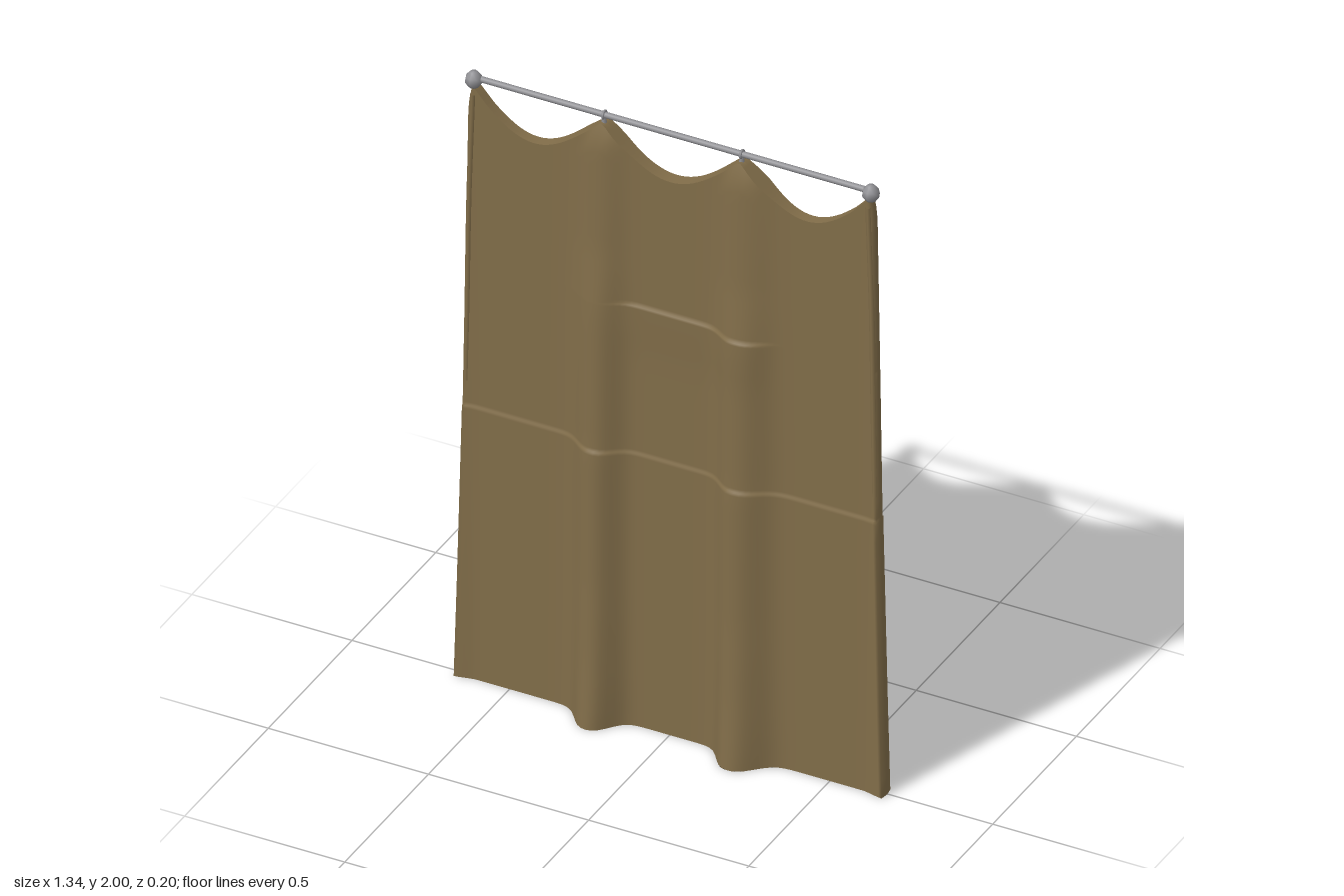
import * as THREE from 'three';

const clothMat = new THREE.MeshStandardMaterial({ color: 0x816d49, side: THREE.DoubleSide });
clothMat.name = 'olive brown cloth';
const metalMat = new THREE.MeshStandardMaterial({ color: 0x909094 });
metalMat.name = 'grey metal';
const darkMat = new THREE.MeshStandardMaterial({ color: 0x14140f, side: THREE.DoubleSide });
darkMat.name = 'black lining';

const HOOKS = [-0.62, -0.215, 0.215, 0.62];

// Linear lookup in a short [key, value] table
function lookup(table, k) {
  if (k <= table[0][0]) return table[0][1];
  for (let i = 1; i < table.length; i++) {
    const [k0, v0] = table[i - 1], [k1, v1] = table[i];
    if (k <= k1) return v0 + (v1 - v0) * (k - k0) / (k1 - k0);
  }
  return table[table.length - 1][1];
}

const bump = (x, centre, left, right, power = 2) =>
  Math.exp(-(Math.abs((x - centre) / (x < centre ? left : right)) ** power));
const smooth = THREE.MathUtils.smoothstep;

// Half width and fold depth by height; the jumps are the stitched seams
const WIDTH = [[0, 0.668], [0.3, 0.66], [0.9, 0.646], [1.3, 0.64], [1.9, 0.63], [1.96, 0.618]];
const FRONT = [[0, 0.1], [0.2, 0.083], [0.45, 0.073], [0.894, 0.07], [0.906, 0.066],
  [1.36, 0.059], [1.55, 0.043], [1.9, 0.035], [1.955, 0.016]];
const BACK = [[0, 0.1], [0.2, 0.09], [0.894, 0.084], [0.906, 0.077], [1.4, 0.06],
  [1.9, 0.043], [1.955, 0.026]];

// Scalloped top edge hanging between the hooks
function topEdge(x) {
  for (let i = 0; i < 3; i++) {
    const t = (x - HOOKS[i]) / (HOOKS[i + 1] - HOOKS[i]);
    if (t >= 0 && t <= 1) return 1.957 - 0.13 * Math.sin(Math.PI * t) ** 1.1;
  }
  return 1.957;
}

function frontZ(x, y) {
  const fold = Math.max(bump(x, -0.22, 0.066, 0.066, 2.5), bump(x, 0.22, 0.062, 0.084, 2.5));
  const flat = 0.012 + 0.012 * smooth(Math.abs(x), 0.6, 0.67) * (1 - y / 2);
  const seam = y < 0.9 ? 0.004 : 0;
  // short stitched crease across the middle
  const crease = y < 1.389 ? 0.006 * smooth(y, 1.2, 1.385) * smooth(x, -0.2, -0.1) * (1 - smooth(x, 0.26, 0.34)) : 0;
  return flat + seam + crease + Math.max(0, lookup(FRONT, y) - 0.016) * fold;
}

function backZ(x, y) {
  const fold = Math.max(bump(x, -0.225, 0.125, 0.075), bump(x, 0.225, 0.075, 0.105));
  const flat = 0.02 + 0.01 * bump(x, 0, 0.3, 0.3);
  const seam = y < 0.9 ? 0.004 : 0;
  return -(flat + seam + Math.max(0, lookup(BACK, y) - 0.026) * fold);
}

// Geometry from equal rows of points; closed joins each row's end to its start
function gridGeometry(rows, closed) {
  const n = rows[0].length, index = [];
  for (let j = 1; j < rows.length; j++) {
    for (let i = 0; i < (closed ? n : n - 1); i++) {
      const k = (i + 1) % n, a = (j - 1) * n, c = j * n;
      index.push(a + i, a + k, c + k, a + i, c + k, c + i);
    }
  }
  const g = new THREE.BufferGeometry();
  g.setAttribute('position', new THREE.Float32BufferAttribute(rows.flat(2), 3));
  g.setIndex(index);
  g.computeVertexNormals();
  return g;
}

// Points around the cloth at one height: front, side, back, side
const ring = [];
{
  const us = [-1, -0.985];
  for (let i = 1; i < 84; i++) us.push(-0.985 + 1.97 * i / 84);
  us.push(0.985, 1);
  us.forEach(u => ring.push([u, 1]));
  ring.push([1.006, 0]);
  us.slice().reverse().forEach(u => ring.push([u, -1]));
  ring.push([-1.006, 0]);
}

function clothRow(height, pinched = false) {
  return ring.map(([u, face]) => {
    const top = topEdge(THREE.MathUtils.clamp(u, -1, 1) * 0.62);
    const y = height <= 1.4 ? height : 1.4 + (height - 1.4) * (top - 1.4) / 0.557;
    const x = u * lookup(WIDTH, y);
    const f = frontZ(x, y), b = backZ(x, y);
    return [x, y, pinched || face === 0 ? (f + b) / 2 : face > 0 ? f : b];
  });
}

// Hollow cloth, open below
function clothGeometry() {
  const heights = [];
  for (let i = 0; i < 16; i++) heights.push(0.89 * i / 16);
  heights.push(0.89, 0.899, 0.901, 0.91);
  for (let i = 1; i < 9; i++) heights.push(0.91 + 0.47 * i / 9);
  heights.push(1.38, 1.388, 1.39, 1.4);
  for (let i = 1; i <= 14; i++) heights.push(1.4 + 0.557 * i / 14);
  return gridGeometry(heights.map(h => clothRow(h)), true);
}

// Black underside closing the fold on the left
function liningGeometry() {
  const front = [], back = [];
  for (let i = 0; i <= 24; i++) {
    const x = 0.06 + 0.33 * i / 24;
    front.push([x, 0.001, frontZ(x, 0)]);
    back.push([x, 0.001, backZ(x, 0)]);
  }
  return gridGeometry([back, front], false);
}

export function createModel() {
  const group = new THREE.Group();
  group.name = 'hangingCurtain';
  const add = (name, geometry, material, x = 0, y = 0, z = 0) => {
    const mesh = new THREE.Mesh(geometry, material);
    mesh.name = name;
    mesh.position.set(x, y, z);
    group.add(mesh);
    return mesh;
  };

  add('cloth', clothGeometry(), clothMat);
  add('clothTopEdge', gridGeometry([clothRow(1.957), clothRow(1.957, true)], true), clothMat);
  add('foldLining', liningGeometry(), darkMat);

  // Rolled hems on the upper side edges
  for (const s of [-1, 1]) {
    const path = new THREE.CatmullRomCurve3([0.98, 1.3, 1.6, 1.93].map(
      y => new THREE.Vector3(s * (lookup(WIDTH, y) - 0.007), y, 0.009)));
    add(s < 0 ? 'rightHem' : 'leftHem', new THREE.TubeGeometry(path, 12, 0.009, 6), clothMat);
  }

  // Rod
  add('rod', new THREE.CylinderGeometry(0.009, 0.009, 1.24, 8), metalMat, 0, 1.976, -0.005).rotation.z = Math.PI / 2;

  // Faceted end knobs, and small hooks along the rod
  const knobProfile = [[0, -0.027], [0.015, -0.025], [0.026, -0.008], [0.023, 0.008], [0.011, 0.023], [0, 0.025]]
    .map(([r, y]) => new THREE.Vector2(r, y));
  HOOKS.forEach((x, i) => {
    if (i === 0 || i === 3) {
      add('endKnob', new THREE.LatheGeometry(knobProfile, 8), metalMat, x, 1.975, 0);
    } else {
      add('hookRing', new THREE.TorusGeometry(0.011, 0.004, 6, 10), metalMat, x, 1.976, -0.005).rotation.y = Math.PI / 2;
      add('hook', new THREE.CylinderGeometry(0.006, 0.008, 0.03, 6), metalMat, x, 1.96, -0.004);
    }
  });
  return group;
}
